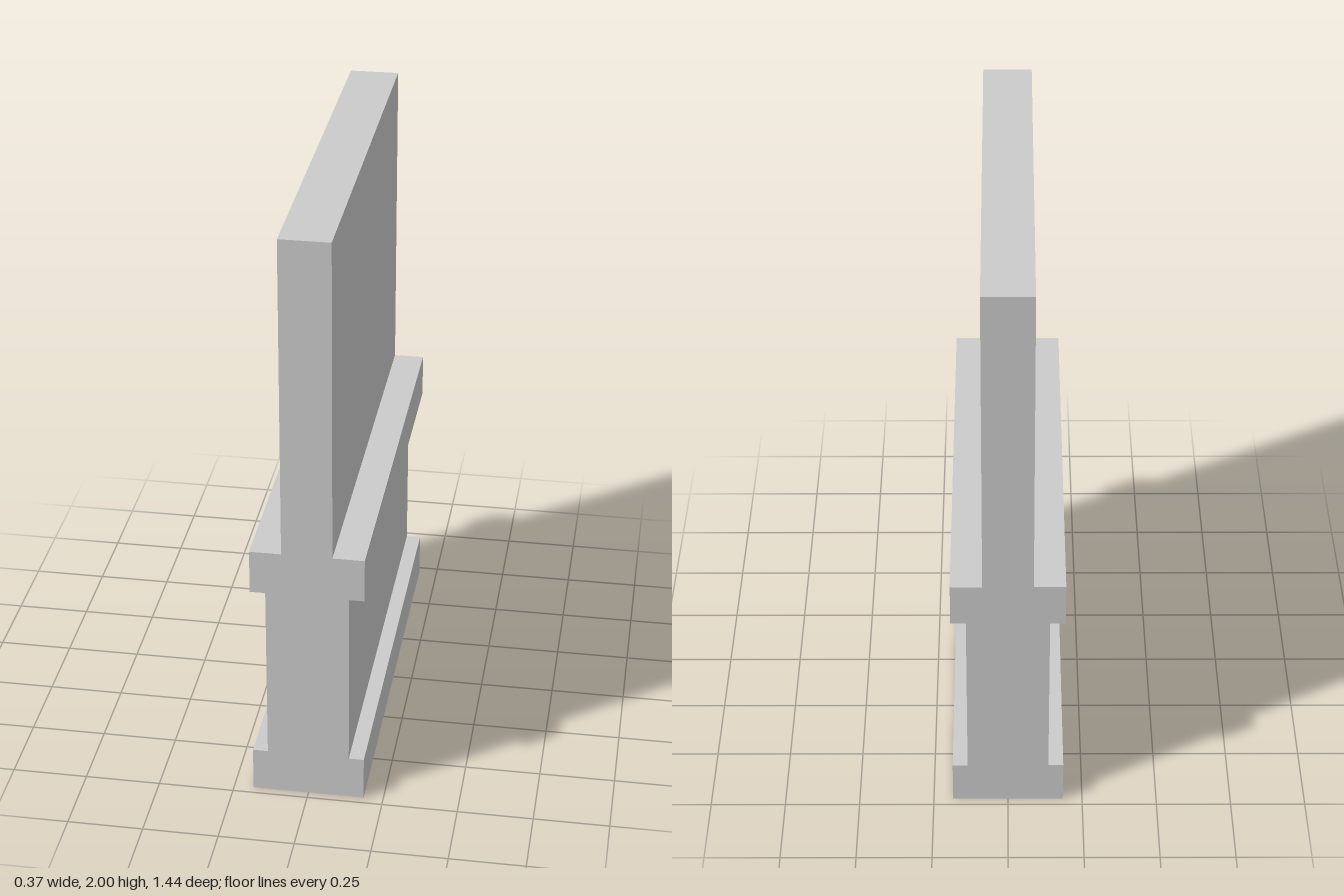
import * as THREE from 'three';

const DEPTH = 1.443;

// Half-profile from bottom to top: [half width, height]
const PROFILE = [
  [0.185, 0], [0.185, 0.152],     // foot
  [0.135, 0.152], [0.135, 0.766], // lower panel
  [0.185, 0.766], [0.185, 0.915], // ledge
  [0.082, 0.915], [0.082, 2],     // upper panel
];

export function createModel() {
  const group = new THREE.Group();
  group.name = 'wallSection';

  // Mirror the half-profile into one closed outline
  const right = PROFILE.map(([x, y]) => new THREE.Vector2(x, y));
  const left = PROFILE.map(([x, y]) => new THREE.Vector2(-x, y)).reverse();
  const outline = new THREE.Shape([...right, ...left]);

  // Extrude along z and centre it
  const geometry = new THREE.ExtrudeGeometry(outline, { depth: DEPTH, bevelEnabled: false });
  geometry.translate(0, 0, -DEPTH / 2);

  const wall = new THREE.Mesh(
    geometry,
    new THREE.MeshStandardMaterial({ color: 0xcccccc, flatShading: true })
  );
  wall.name = 'steppedWall';
  group.add(wall);
  return group;
}
